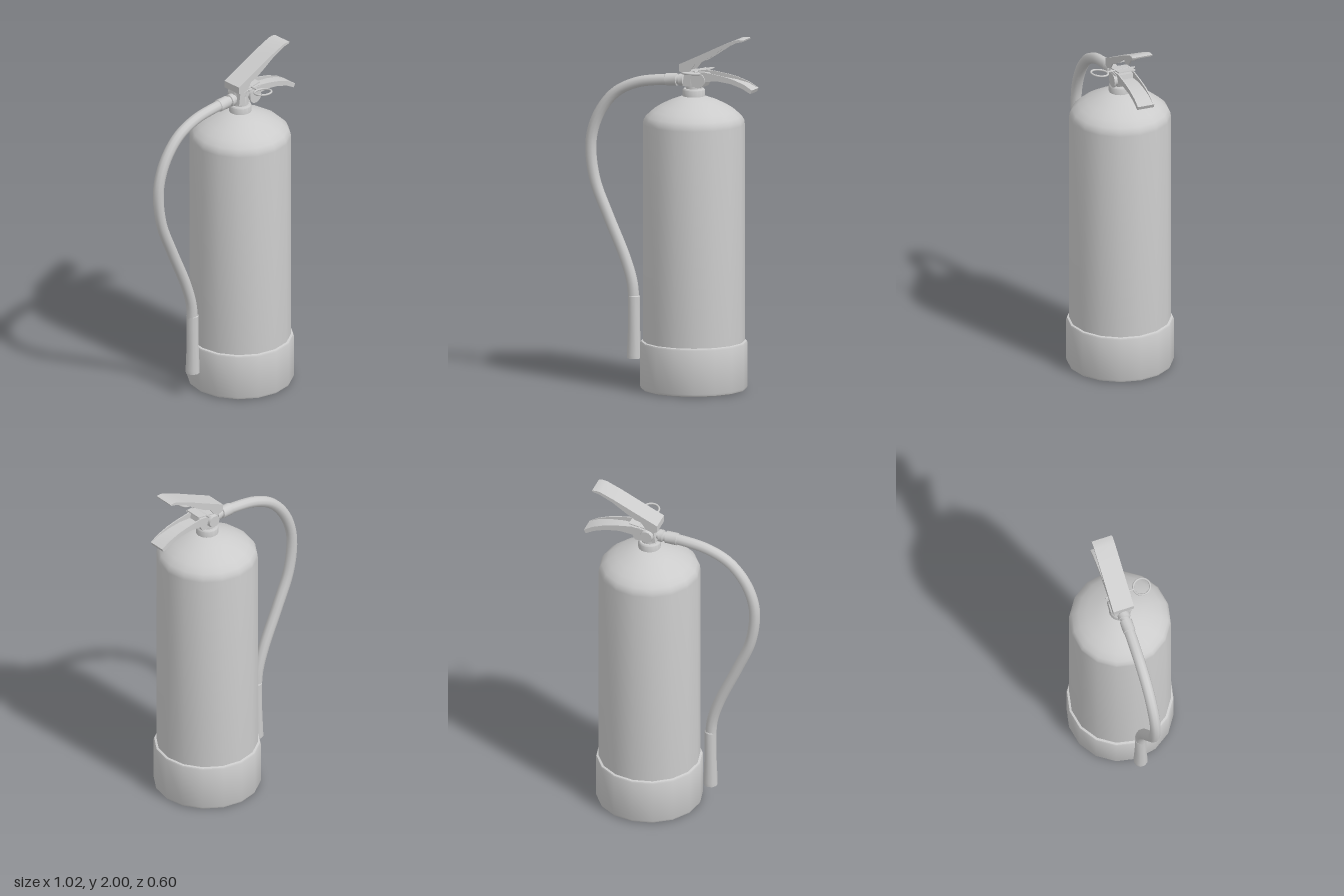
import * as THREE from 'three';
import { toCreasedNormals } from 'three/addons/utils/BufferGeometryUtils.js';

const material = new THREE.MeshStandardMaterial({ color: 0xcccccc, side: THREE.DoubleSide });
const CX = 0.14; // axis of the cylinder

export function createModel() {
  const model = new THREE.Group();

  const add = (name, geometry, x = 0, y = 0, z = 0, parent = model) => {
    const mesh = new THREE.Mesh(geometry, material);
    mesh.name = name;
    mesh.position.set(x, y, z);
    parent.add(mesh);
    return mesh;
  };
  const lathe = (points, sides) => toCreasedNormals(
    new THREE.LatheGeometry(points.map(p => new THREE.Vector2(...p)), sides), 0.65);
  // Side outline in x, y given a thickness between two depths
  const slab = (points, z0, z1) => {
    const shape = new THREE.Shape(points.map(p => new THREE.Vector2(...p)));
    const g = new THREE.ExtrudeGeometry(shape, { depth: z1 - z0, bevelEnabled: false });
    return toCreasedNormals(g.translate(0, 0, z0), 0.5);
  };
  // Folded sheet lever: a web strip joined to two side flanges
  const channel = (name, web, flange, half) => {
    const group = new THREE.Group();
    group.name = name;
    add(name + 'Web', slab(web, -half, half), 0, 0, 0, group);
    for (const s of [-1, 1]) {
      const edges = [s * half, s * (half - 0.007)].sort((a, b) => a - b);
      add(name + 'Flange', slab(flange, ...edges), 0, 0, 0, group);
    }
    model.add(group);
  };

  // Tank with domed shoulder
  add('tank', lathe([[0, 0.03], [0.284, 0.03], [0.284, 1.5], [0.281, 1.522], [0.268, 1.545],
    [0.235, 1.575], [0.19, 1.603], [0.13, 1.632], [0.062, 1.657], [0, 1.657]], 16), CX);
  // Base sleeve
  add('baseSleeve', lathe([[0, 0], [0.284, 0], [0.295, 0.005], [0.3, 0.017], [0.3, 0.262],
    [0.296, 0.271], [0.283, 0.274]], 16), CX);
  // Neck collar and valve stem
  add('neckCollar', lathe([[0.063, 1.64], [0.063, 1.692], [0.057, 1.7], [0, 1.7]], 16), CX);
  add('valveStem', lathe([[0.046, 1.69], [0.046, 1.77], [0.036, 1.79], [0, 1.79]], 16), CX);
  add('valveBlock', slab([[0.09, 1.715], [0.21, 1.715], [0.23, 1.75], [0.22, 1.79],
    [0.1, 1.785]], -0.045, 0.045));

  // Pressure gauge on the front and plug on the back
  const gauge = add('gauge', lathe([[0, 0], [0.034, 0], [0.034, 0.02], [0.042, 0.022],
    [0.042, 0.03], [0, 0.03]], 16), 0.192, 1.755, 0.042);
  gauge.rotation.x = Math.PI / 2;
  const plug = add('backPlug', new THREE.CylinderGeometry(0.035, 0.04, 0.022, 12), CX, 1.755, -0.054);
  plug.rotation.x = -Math.PI / 2;

  // Squeeze lever, open underneath
  channel('upperLever',
    [[0.075, 1.84], [0.2, 1.899], [0.33, 1.962], [0.41, 1.996], [0.435, 2], [0.458, 1.998],
      [0.455, 1.989], [0.43, 1.99], [0.412, 1.983], [0.33, 1.949], [0.2, 1.886], [0.08, 1.828]],
    [[0.075, 1.84], [0.2, 1.899], [0.33, 1.962], [0.41, 1.996], [0.435, 2], [0.455, 1.989],
      [0.42, 1.982], [0.34, 1.944], [0.26, 1.89], [0.205, 1.856], [0.17, 1.845],
      [0.14, 1.805], [0.1, 1.79], [0.075, 1.8]], 0.06);
  add('leverBackPlate', slab([[0.075, 1.8], [0.083, 1.8], [0.083, 1.836], [0.075, 1.84]], -0.06, 0.06));

  // Carrying handle, open on top
  channel('carryHandle',
    [[0.18, 1.748], [0.3, 1.756], [0.38, 1.746], [0.45, 1.724], [0.5, 1.697],
      [0.51, 1.718], [0.455, 1.744], [0.38, 1.76], [0.3, 1.768], [0.18, 1.76]],
    [[0.13, 1.76], [0.2, 1.745], [0.3, 1.756], [0.38, 1.746], [0.45, 1.724], [0.5, 1.697],
      [0.51, 1.718], [0.46, 1.748], [0.39, 1.773], [0.33, 1.786], [0.23, 1.8], [0.15, 1.79]], 0.05);

  // Safety strip, pin and pull ring
  const strip = add('safetyStrip', new THREE.BoxGeometry(0.13, 0.006, 0.1), 0.18, 1.806, 0);
  strip.rotation.z = 0.16;
  const pin = add('safetyPin', new THREE.CylinderGeometry(0.006, 0.006, 0.165, 8), 0.182, 1.805, 0.012);
  pin.rotation.x = Math.PI / 2;
  const ring = add('pullRing', new THREE.TorusGeometry(0.048, 0.006, 8, 28), 0.182, 1.807, 0.142);
  ring.rotation.x = Math.PI / 2 - 0.12;
  add('ringTag', new THREE.BoxGeometry(0.09, 0.008, 0.005), 0.19, 1.8, 0.067);

  // Hose with outlet fittings
  const path = new THREE.CatmullRomCurve3([[0.03, 1.742], [-0.06, 1.736], [-0.2, 1.712],
    [-0.325, 1.652], [-0.415, 1.55], [-0.467, 1.43], [-0.48, 1.315], [-0.454, 1.14],
    [-0.375, 0.945], [-0.272, 0.71], [-0.23, 0.57], [-0.22, 0.42]]
    .map(([x, y]) => new THREE.Vector3(x, y, 0)));
  add('hose', new THREE.TubeGeometry(path, 56, 0.031, 10));
  const fittings = add('hoseFittings', lathe([[0.023, -0.1], [0.023, -0.055], [0.035, -0.052],
    [0.035, -0.028], [0.028, -0.025], [0.028, -0.012], [0.035, -0.01], [0.035, 0.055],
    [0.031, 0.058]], 12), 0.03, 1.742, 0);
  fittings.rotation.z = Math.PI / 2 + 0.04;
  // Nozzle at the hose end
  add('nozzle', lathe([[0, 0.16], [0.032, 0.16], [0.032, 0.15], [0.04, 0.15], [0.04, 0.17],
    [0.034, 0.32], [0.034, 0.5], [0.03, 0.505]], 10), -0.22, 0, 0);

  return model;
}
